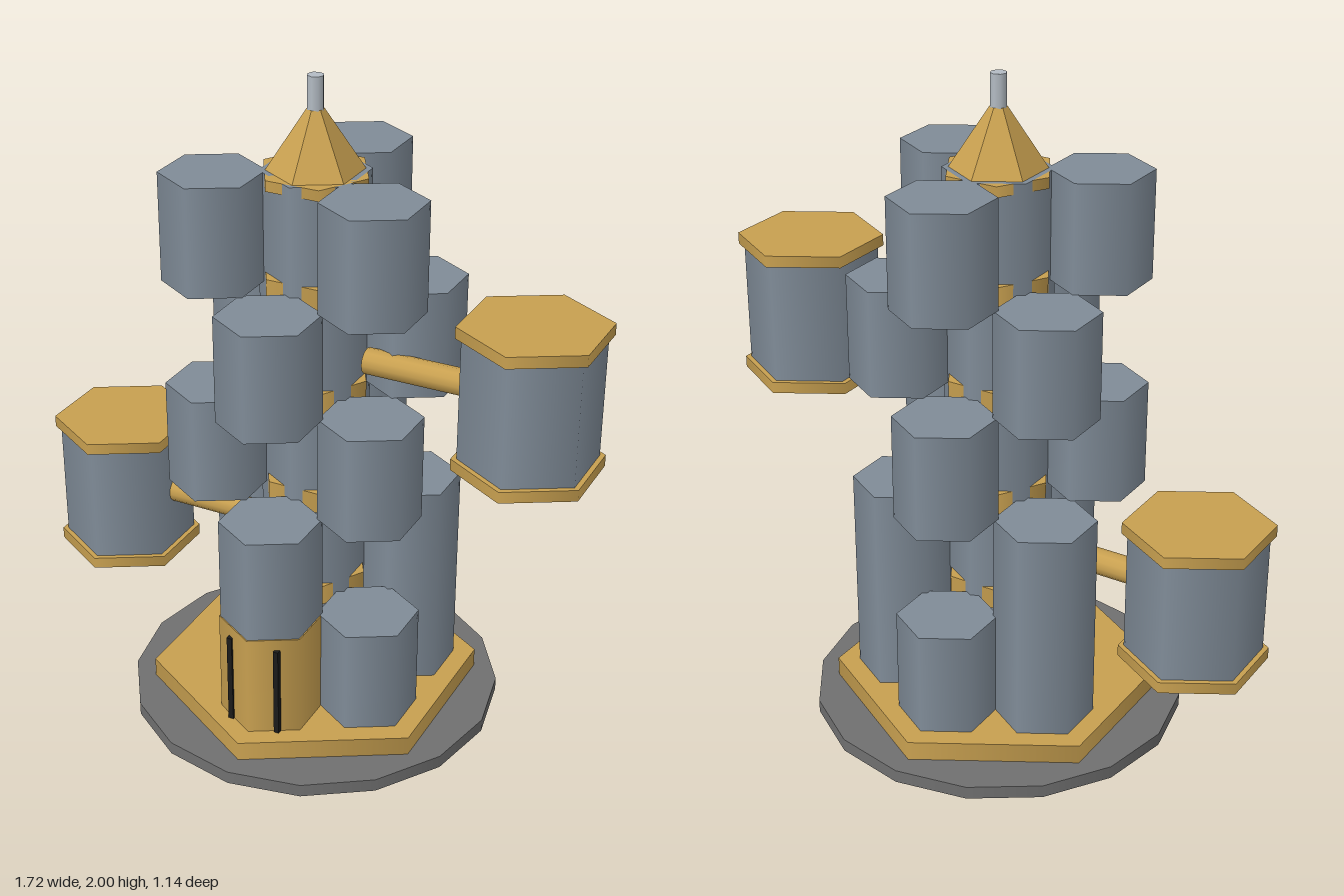
import * as THREE from 'three';

const mat = (color, extra = {}) => new THREE.MeshStandardMaterial({ color, ...extra });

export function createModel() {
  const model = new THREE.Group();
  model.name = 'capsuleTower';

  const gold = mat(0xc8a050);
  const goldFlat = mat(0xc8a050, { flatShading: true });
  const steel = mat(0x808c98);
  const stone = mat(0x707070);
  const silver = mat(0xb4bcc4);
  const black = mat(0x1a1a1a);

  // Upright prism spanning y0..y1; corners point to +z and -z when sides = 6
  function prism(parent, name, material, r, y0, y1, x = 0, z = 0, sides = 6, rTop = r) {
    const mesh = new THREE.Mesh(new THREE.CylinderGeometry(rTop, r, y1 - y0, sides), material);
    mesh.position.set(x, (y0 + y1) / 2, z);
    mesh.name = name;
    parent.add(mesh);
    return mesh;
  }

  // Base disc and hexagonal plinth
  prism(model, 'baseDisc', stone, 0.57, 0, 0.04, 0, 0, 16);
  prism(model, 'plinth', gold, 0.505, 0.04, 0.1);

  // Core, with a collar at both ends of each floor
  const floorY = (i) => 0.1 + i * 0.326;
  const core = new THREE.Group();
  core.name = 'core';
  model.add(core);
  for (let i = 0; i < 5; i++) {
    const y0 = floorY(i), y1 = floorY(i + 1);
    prism(core, 'coreSegment', steel, 0.159, y0, y1);
    for (const y of [y0, y1 - 0.032]) {
      prism(core, 'coreCollar', gold, 0.164, y, y + 0.032).rotation.y = Math.PI / 6;
    }
  }

  // Hexagonal capsules around the core; slot 0 is the front, then every 60 degrees
  const capsules = new THREE.Group();
  capsules.name = 'capsules';
  model.add(capsules);
  const ring = 0.286;
  function capsule(slot, from, to) {
    const a = slot * Math.PI / 3;
    prism(capsules, 'capsule', steel, 0.151, floorY(from), floorY(to),
      ring * Math.sin(a), ring * Math.cos(a));
  }
  capsule(1, 0, 1);
  capsule(3, 0, 1);
  capsule(2, 0, 2); // two-storey capsules at the rear
  capsule(4, 0, 2);
  capsule(0, 1, 2);
  for (const slot of [1, 3, 5]) {
    capsule(slot, 2, 3);
    capsule(slot, 4, 5);
  }
  for (const slot of [0, 2, 4]) capsule(slot, 3, 4);

  // Entrance with two dark slits
  const entrance = new THREE.Group();
  entrance.name = 'entrance';
  model.add(entrance);
  prism(entrance, 'entranceBody', gold, 0.155, 0.1, floorY(1), 0, ring);
  for (const s of [-1, 1]) {
    const slit = new THREE.Mesh(new THREE.BoxGeometry(0.016, 0.29, 0.03), black);
    slit.position.set(s * 0.077, 0.245, 0.393);
    slit.name = 'entranceSlit';
    entrance.add(slit);
  }

  // Outrigger pods on horizontal arms
  function pod(side, y) {
    const group = new THREE.Group();
    group.name = side > 0 ? 'leftPod' : 'rightPod';
    const x = side * 0.668;
    prism(group, 'podBody', steel, 0.202, y - 0.19, y + 0.19, x);
    prism(group, 'podFloor', gold, 0.219, y - 0.222, y - 0.187, x);
    prism(group, 'podRoof', gold, 0.219, y + 0.187, y + 0.222, x);
    const arm = new THREE.Mesh(new THREE.CylinderGeometry(0.039, 0.039, 0.345, 12), gold);
    arm.rotation.z = Math.PI / 2;
    arm.position.set(side * 0.3375, y, 0);
    arm.name = 'podArm';
    group.add(arm);
    model.add(group);
  }
  pod(1, 1.177);
  pod(-1, 0.575);

  // Roof cone and mast
  prism(model, 'roof', goldFlat, 0.14, 1.73, 1.905, 0, 0, 6, 0.025);
  prism(model, 'mast', silver, 0.024, 1.9, 2.0, 0, 0, 8);

  return model;
}
